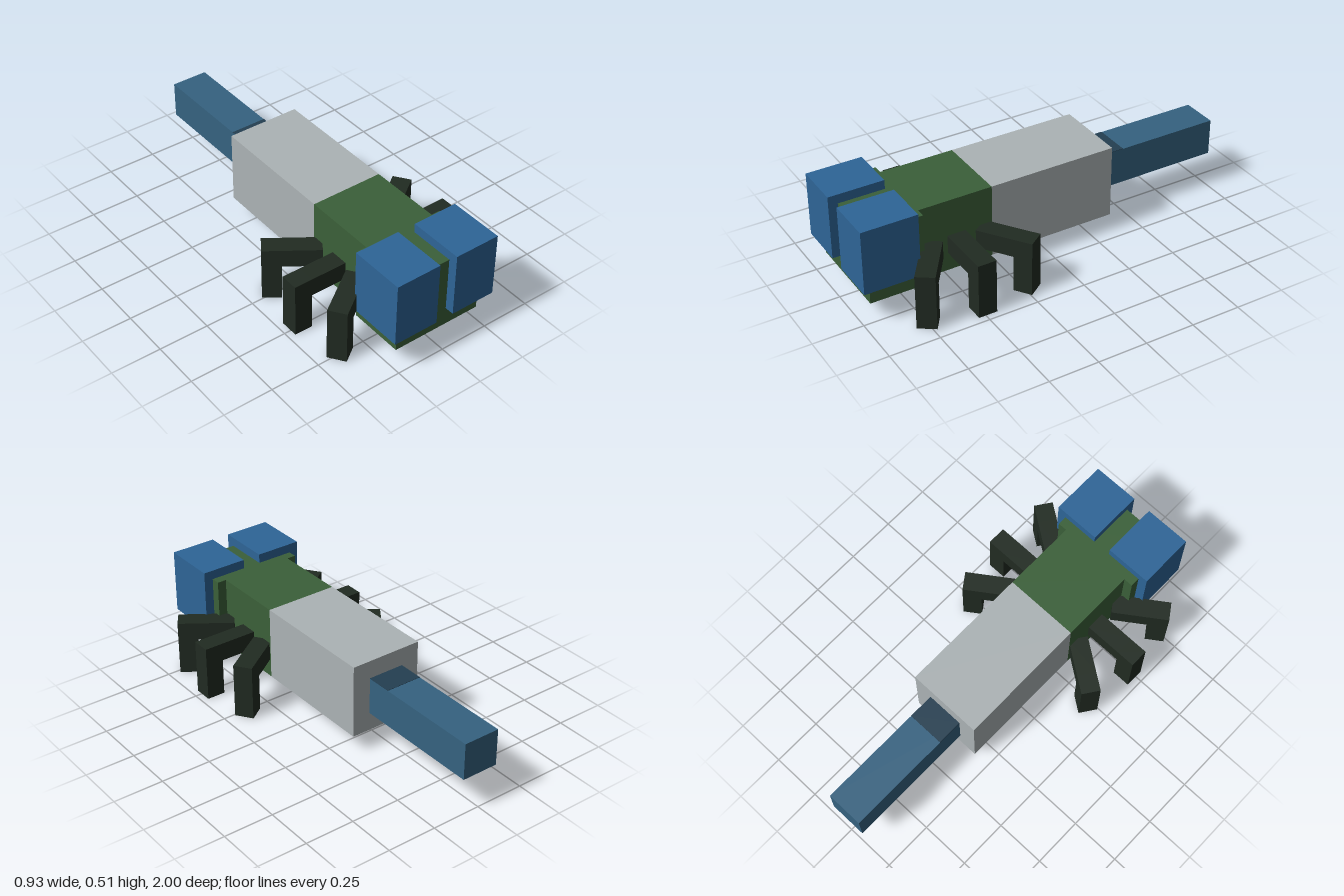
import * as THREE from 'three';

// One modelling unit; the whole insect is 43 units long
const U = 2 / 43;

const mat = (name, color) => {
  const m = new THREE.MeshStandardMaterial({ color });
  m.name = name;
  return m;
};

// Box given by its min and max corners, in units
function box(name, material, [x0, y0, z0], [x1, y1, z1]) {
  const geo = new THREE.BoxGeometry((x1 - x0) * U, (y1 - y0) * U, (z1 - z0) * U);
  const mesh = new THREE.Mesh(geo, material);
  mesh.position.set((x0 + x1) / 2 * U, (y0 + y1) / 2 * U, (z0 + z1) / 2 * U);
  mesh.name = name;
  return mesh;
}

export function createModel() {
  const green = mat('bodyGreen', 0x3b6039);
  const grey = mat('abdomenGrey', 0xacb3b5);
  const blue = mat('eyeBlue', 0x2e6597);
  const tailBlue = mat('tailBlue', 0x356280);
  const darkBlue = mat('tailDarkBlue', 0x243f51);
  const dark = mat('legDark', 0x212b22);

  const model = new THREE.Group();
  model.name = 'insect';

  // Head, thorax, abdomen and tail in a row
  model.add(
    box('head', green, [-5, 2, 14.5], [5, 10, 20.5]),
    box('thorax', green, [-4, 2, 6.5], [4, 10, 14.5]),
    box('abdomen', grey, [-4, 2, -7.5], [4, 10, 6.5]),
    box('tail', tailBlue, [-2, 4, -21.5], [2, 8, -7.5]),
    box('tailBand', darkBlue, [-2, 8, -10.25], [2, 8.04, -7.5])
  );

  for (const side of [1, -1]) {
    const label = side > 0 ? 'left' : 'right';

    // Large block eyes
    const [a, b] = side > 0 ? [1, 6] : [-6, -1];
    model.add(box(label + 'Eye', blue, [a, 4, 15.5], [b, 11, 21.5]));

    // Three bent legs, fanned around the thorax
    [['Front', 13.13, 35], ['Middle', 10.5, 0], ['Rear', 7.87, -35]].forEach(([row, z, deg]) => {
      const leg = new THREE.Group();
      leg.name = label + row + 'Leg';
      leg.add(
        box('upperLeg', dark, [0, 4, -1], [4, 6, 1]),
        box('lowerLeg', dark, [4, 0, -1], [6, 6, 1])
      );
      const yaw = THREE.MathUtils.degToRad(deg);
      leg.rotation.y = side > 0 ? -yaw : Math.PI + yaw;
      leg.position.set(side * 4 * U, 0, z * U);
      model.add(leg);
    });
  }
  return model;
}
